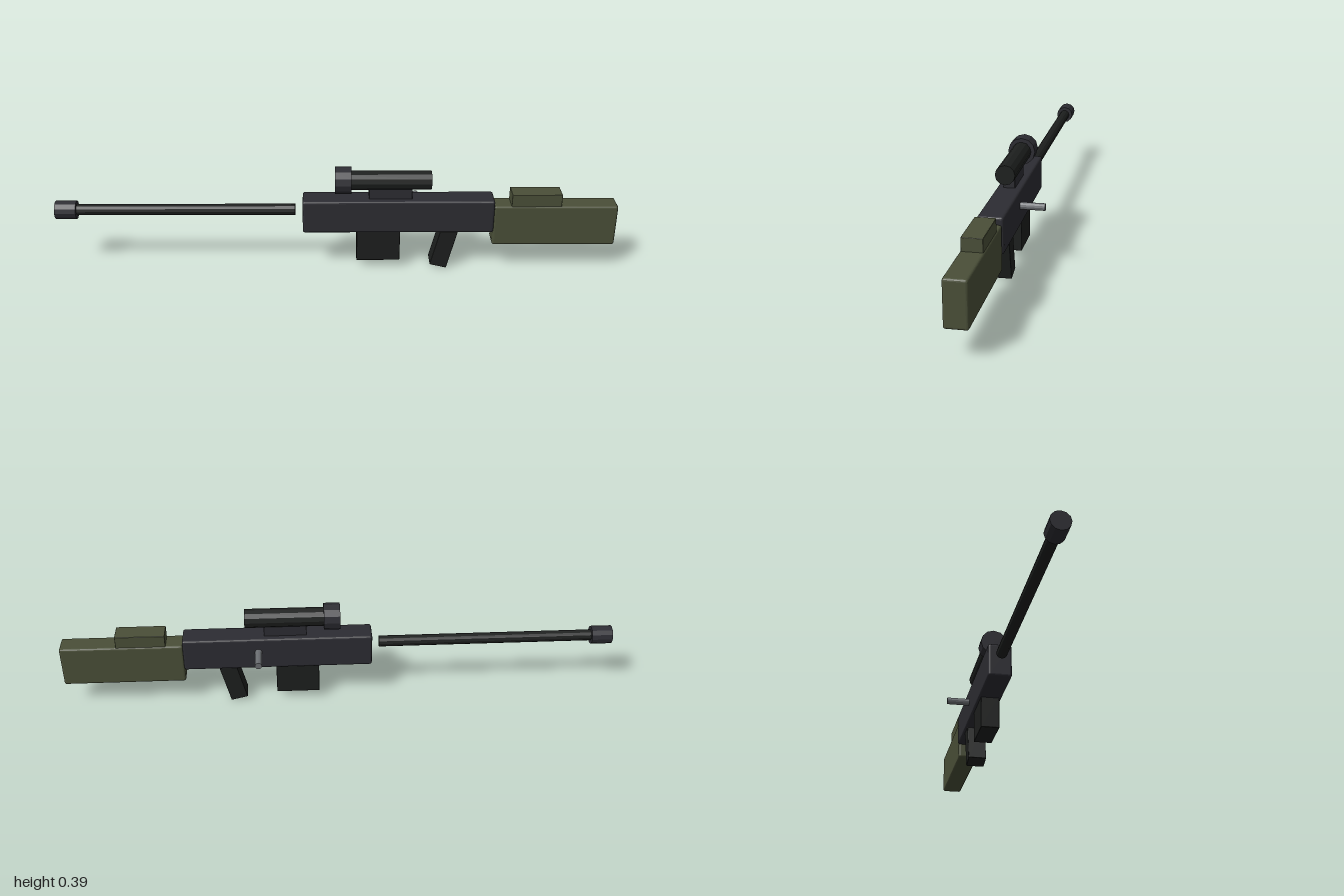
import * as THREE from 'three';
import { RoundedBoxGeometry } from 'three/addons/geometries/RoundedBoxGeometry.js';

const Z = 0.04; // centre plane of the body

const material = (color) => new THREE.MeshStandardMaterial({ color, flatShading: true });

export function createModel() {
  const group = new THREE.Group();
  const steel = material(0x2c2c32);
  const black = material(0x1d1f1e);
  const olive = material(0x4a4f38);
  const grey = material(0x6b6e72);

  const add = (name, geometry, mat, x, y, z = Z) => {
    const mesh = new THREE.Mesh(geometry, mat);
    mesh.name = name;
    mesh.position.set(x, y, z);
    group.add(mesh);
    return mesh;
  };

  // Bevelled block given by its x and y extents and its depth
  const block = (name, mat, x0, x1, y0, y1, depth, bevel) =>
    add(name, new RoundedBoxGeometry(x1 - x0, y1 - y0, depth, 2, bevel), mat, (x0 + x1) / 2, (y0 + y1) / 2);

  // Cylinder lying along x
  const rod = (name, mat, x0, x1, y, radius) =>
    add(name, new THREE.CylinderGeometry(radius, radius, x1 - x0, 12).rotateZ(Math.PI / 2), mat, (x0 + x1) / 2, y);

  // Body and stock
  block('receiver', steel, -0.12, 0.56, 0.151, 0.275, 0.086, 0.008);
  block('stock', olive, 0.558, 0.998, 0.098, 0.252, 0.076, 0.008);
  block('cheekRest', olive, 0.62, 0.797, 0.235, 0.296, 0.068, 0.002);
  block('magazine', black, 0.072, 0.228, 0.034, 0.165, 0.068, 0.002);

  // Slanted pistol grip
  const grip = add('grip', new RoundedBoxGeometry(0.062, 0.175, 0.068, 2, 0.002), black, 0.389, 0.093);
  grip.rotation.z = -0.24;

  // Barrel
  rod('barrel', black, -0.94, -0.147, 0.225, 0.02);
  rod('muzzle', steel, -1, -0.925, 0.225, 0.033);

  // Sight on its mount
  block('scopeMount', steel, 0.115, 0.268, 0.265, 0.316, 0.04, 0.002);
  rod('scopeTube', black, -0.003, 0.335, 0.34, 0.034);
  rod('scopeBell', steel, -0.005, 0.053, 0.34, 0.048);

  // Bolt handle sticking out at the back
  add('boltHandle', new THREE.CylinderGeometry(0.0128, 0.0128, 0.108, 12).rotateX(Math.PI / 2), grey, 0.289, 0.222, -0.034);

  return group;
}
